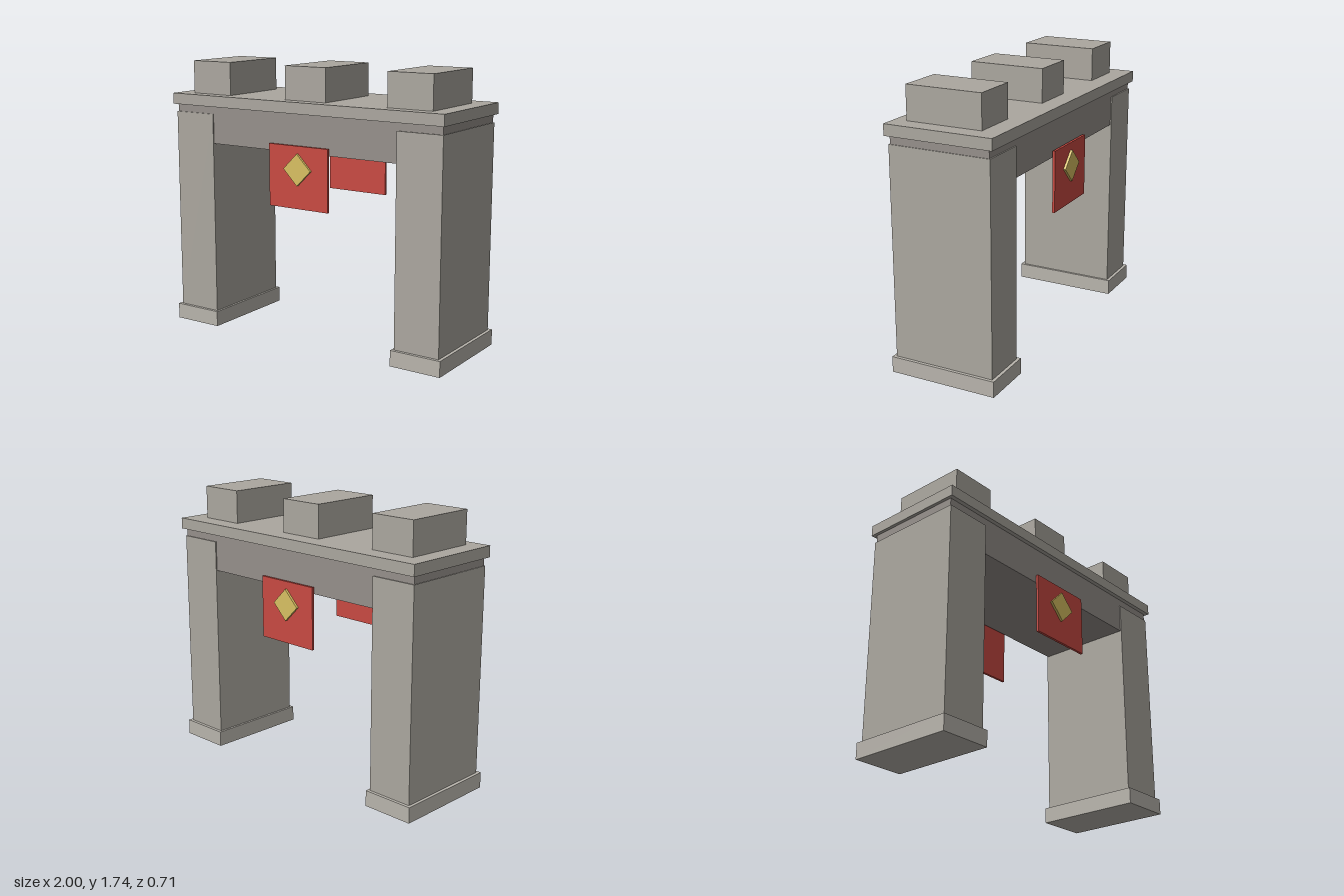
import * as THREE from 'three';

const mat = (color) => new THREE.MeshStandardMaterial({ color });

export function createModel() {
  const group = new THREE.Group();
  const stone = mat(0xaba79f);
  const paleStone = mat(0xb8b4ac);
  const darkStone = mat(0x96908b);
  const red = mat(0xc94a42);
  const gold = mat(0xd8c062);

  // Box resting on height y0, centred on x and z
  const block = (name, material, w, h, d, x, y0, z) => {
    const mesh = new THREE.Mesh(new THREE.BoxGeometry(w, h, d), material);
    mesh.name = name;
    mesh.position.set(x, y0 + h / 2, z);
    group.add(mesh);
    return mesh;
  };

  // Pillars on wider plinths
  for (const [side, s] of [['left', 1], ['right', -1]]) {
    block(side + 'Plinth', paleStone, 0.335, 0.1, 0.69, s * 0.8325, 0, 0);
    block(side + 'Pillar', stone, 0.3, 1.31, 0.65, s * 0.83, 0.1, 0);
  }

  // Lintel and overhanging cap slab
  block('lintel', darkStone, 1.95, 0.24, 0.635, 0, 1.22, 0);
  block('capSlab', stone, 1.99, 0.07, 0.69, 0, 1.46, 0);

  // Battlement blocks, set slightly forward
  for (const x of [-0.73, 0, 0.73]) {
    block('battlement', stone, 0.3, 0.21, 0.485, x, 1.53, 0.0225);
  }

  // Banner with a diamond emblem on both faces
  for (const [face, s] of [['front', 1], ['back', -1]]) {
    block(face + 'Banner', red, 0.435, 0.39, 0.016, 0, 0.875, s * 0.334);
    const side = 0.2 / Math.SQRT2;
    const diamond = block(face + 'Diamond', gold, side, side, 0.016, 0, 1.12 - side / 2, s * 0.349);
    diamond.rotation.z = Math.PI / 4;
  }

  return group;
}
